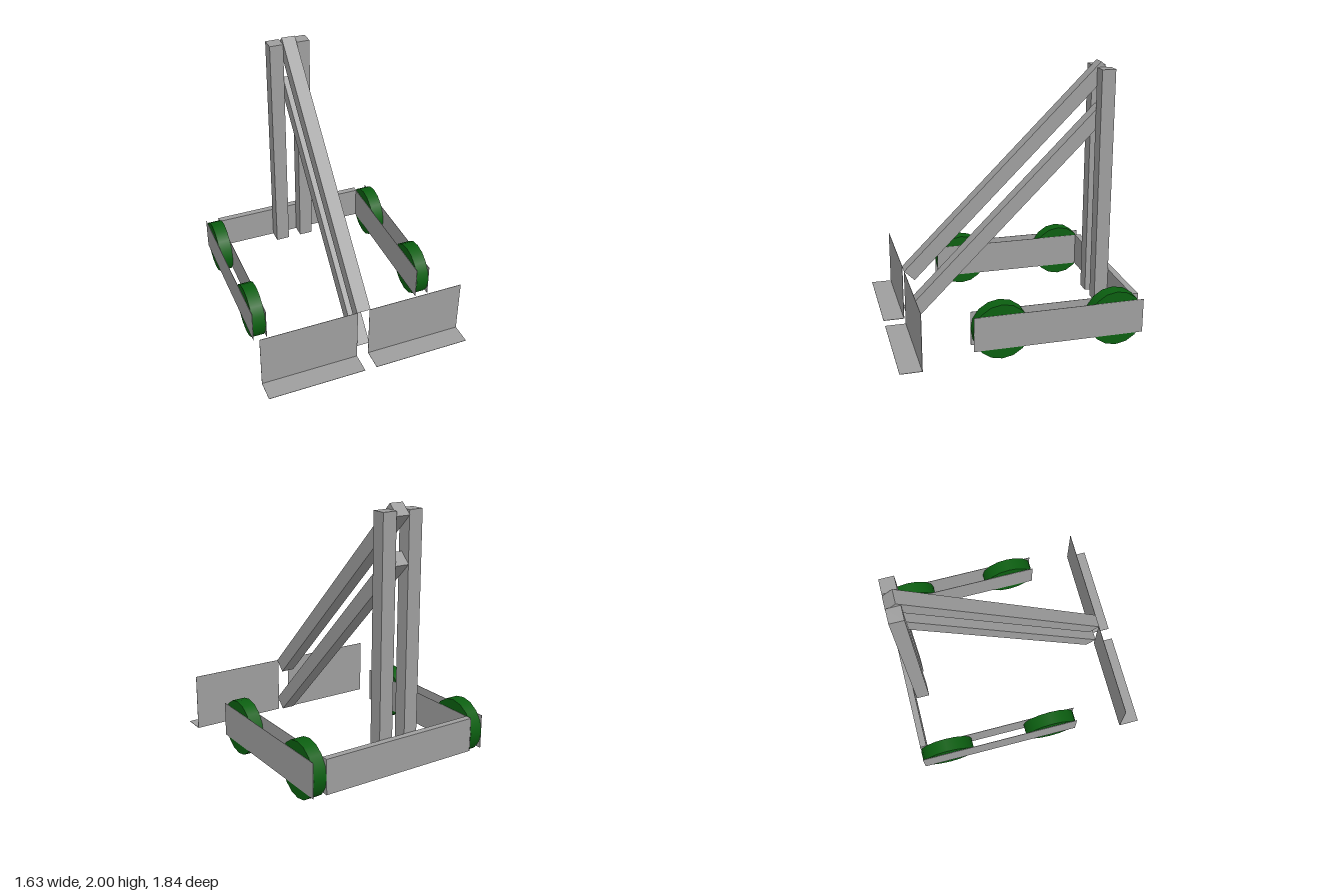
import * as THREE from 'three';

export function createModel() {
  const model = new THREE.Group();
  model.name = 'liftRobot';
  const grey = new THREE.MeshStandardMaterial({ color: 0x9e9e9e });
  const green = new THREE.MeshStandardMaterial({ color: 0x0b5f10 });

  const add = (name, geometry, material, x, y, z) => {
    const mesh = new THREE.Mesh(geometry, material);
    mesh.name = name;
    mesh.position.set(x, y, z);
    model.add(mesh);
    return mesh;
  };

  // Wheels, each pair held between two thin side plates
  const sheet = 0.003;
  const wheelRadius = 0.2125;
  const wheel = new THREE.CylinderGeometry(wheelRadius, wheelRadius, 0.102, 16).rotateX(Math.PI).rotateZ(Math.PI / 2);
  const sidePlate = new THREE.BoxGeometry(sheet, 0.265, 1.29);
  for (const [side, s] of [['left', 1], ['right', -1]]) {
    add(side + 'FrontWheel', wheel, green, s * 0.697, wheelRadius, 0.163);
    add(side + 'RearWheel', wheel, green, s * 0.697, wheelRadius, -0.708);
    add(side + 'OuterPlate', sidePlate, grey, s * 0.75, 0.2125, -0.272);
    add(side + 'InnerPlate', sidePlate, grey, s * 0.642, 0.2125, -0.272);
  }

  // Rear cross beam joining the two sides
  add('rearCrossBeam', new THREE.BoxGeometry(1.284, 0.265, 0.05), grey, 0, 0.2125, -0.89);

  // Twin upright posts
  const postBottom = 0.085, postTop = 1.957;
  const post = new THREE.BoxGeometry(0.11, postTop - postBottom, 0.108);
  for (const [side, s] of [['left', 1], ['right', -1]]) {
    add(side + 'Post', post, grey, s * 0.109, (postBottom + postTop) / 2, -0.808);
  }

  // Two parallel lift arms sloping at 45 degrees between the posts
  const arm = new THREE.BoxGeometry(0.108, 0.112, 1.545 * Math.SQRT2);
  for (const [name, y] of [['upperArm', 1.188], ['lowerArm', 0.851]]) {
    const mesh = add(name, arm, grey, 0, y, -0.053);
    mesh.rotation.x = Math.PI / 4;
  }

  // Fork plates: a thin upright sheet with a flat lip along its foot
  const forkBack = new THREE.BoxGeometry(0.766, 0.445, sheet);
  const forkLip = new THREE.BoxGeometry(0.766, sheet, 0.163);
  for (const [side, s] of [['left', 1], ['right', -1]]) {
    add(side + 'ForkBack', forkBack, grey, s * 0.43, 0.2325, 0.758);
    add(side + 'ForkLip', forkLip, grey, s * 0.43, 0.0115, 0.8395);
  }

  return model;
}
